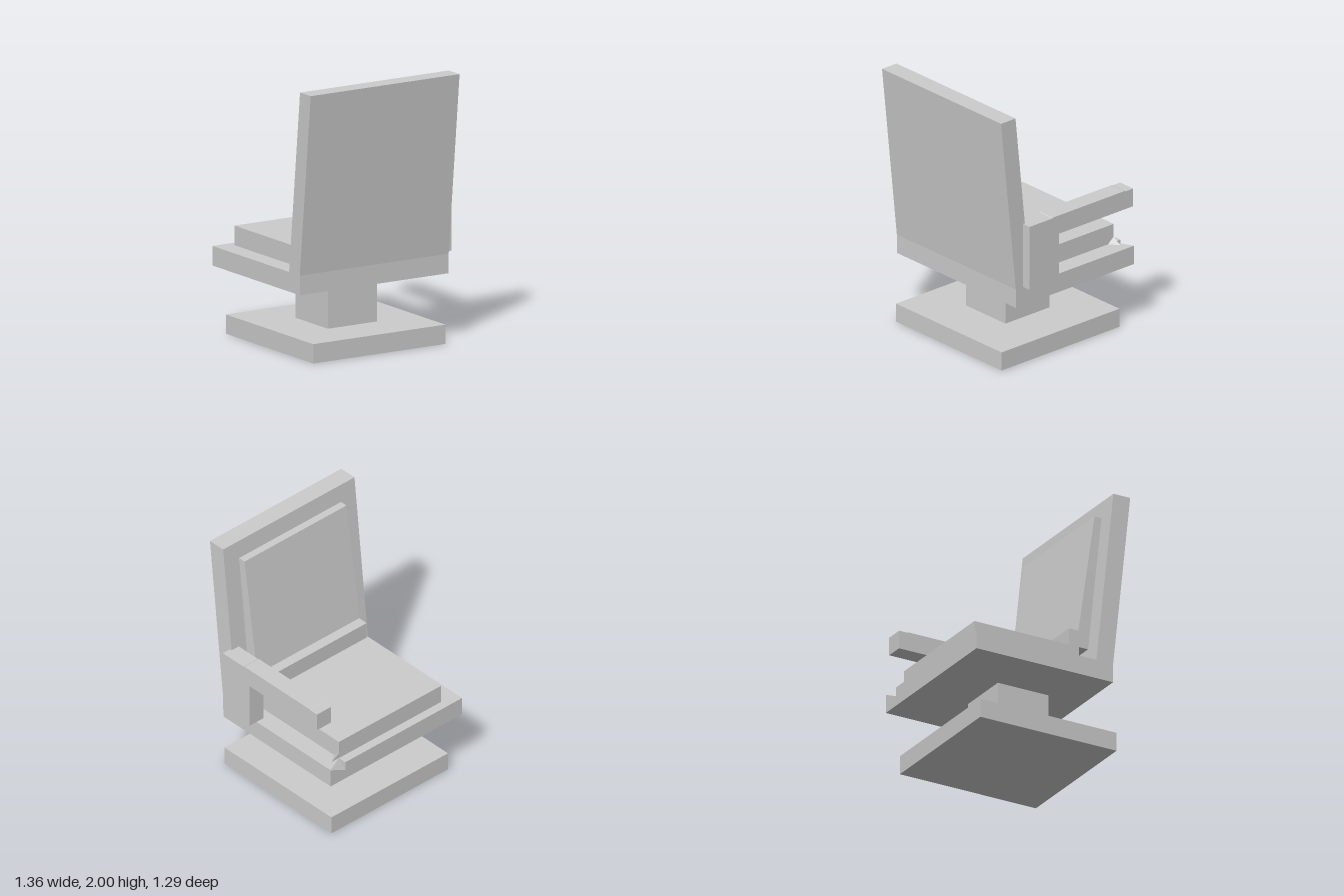
import * as THREE from 'three';
import { ConvexGeometry } from 'three/addons/geometries/ConvexGeometry.js';

const material = new THREE.MeshStandardMaterial({ color: 0xcccccc, flatShading: true });

function part(name, geometry) {
  const mesh = new THREE.Mesh(geometry, material);
  mesh.name = name;
  return mesh;
}

// Box given by its extents on each axis
function block(name, [x0, x1], [y0, y1], [z0, z1]) {
  const geometry = new THREE.BoxGeometry(x1 - x0, y1 - y0, z1 - z0);
  geometry.translate((x0 + x1) / 2, (y0 + y1) / 2, (z0 + z1) / 2);
  return part(name, geometry);
}

// Side profile of [z, y] points, extruded from x0 to x1
function profile(name, [x0, x1], points) {
  const shape = new THREE.Shape(points.map(([z, y]) => new THREE.Vector2(-z, y)));
  const geometry = new THREE.ExtrudeGeometry(shape, { depth: x1 - x0, bevelEnabled: false });
  geometry.rotateY(Math.PI / 2);
  geometry.translate(x0, 0, 0);
  return part(name, geometry);
}

function hull(name, points) {
  return part(name, new ConvexGeometry(points.map((p) => new THREE.Vector3(...p))));
}

export function createModel() {
  const chair = new THREE.Group();
  chair.name = 'chair';

  // Pedestal
  chair.add(block('base', [-0.61, 0.53], [0, 0.143], [-0.57, 0.57]));
  chair.add(block('stem', [-0.25, 0.175], [0.143, 0.5], [-0.21, 0.215]));

  // Seat slab, with a chipped front corner on the armrest side
  const seat = new THREE.Group();
  seat.name = 'seat';
  const chipX = 0.462, edgeX = 0.605, low = 0.5, top = 0.645, front = -0.643, back = 0.36;
  seat.add(block('seatSlab', [-0.68, chipX], [low, top], [front, back]));
  seat.add(hull('chippedSide', [
    [chipX, low, front], [edgeX, low, front], [edgeX, top, front],
    [chipX, 0.575, front], [chipX, top, -0.575],
    [chipX, low, back], [edgeX, low, back], [chipX, top, back], [edgeX, top, back],
  ]));
  chair.add(seat);

  // Leaning backrest
  chair.add(profile('backrest', [-0.68, 0.605], [
    [0.36, 0.5], [0.5, 0.5], [0.5, 0.645], [0.643, 2], [0.503, 2], [0.36, 0.645],
  ]));

  // Cushions; the back one has a step at its foot
  chair.add(block('seatCushion', [-0.535, 0.462], [0.645, 0.79], [-0.575, 0.3]));
  chair.add(profile('backCushion', [-0.535, 0.462], [
    [0.215, 0.79], [0.38, 0.79], [0.49, 1.86], [0.43, 1.86], [0.295, 0.92], [0.215, 0.92],
  ]));
  chair.add(hull('cushionWedge', [
    [0.462, 0.645, -0.575], [0.532, 0.645, -0.575], [0.462, 0.645, -0.52], [0.462, 0.69, -0.575],
  ]));

  // Single armrest with its rear post
  chair.add(profile('armrest', [0.535, 0.675], [
    [0.43, 0.645], [0.43, 1.143], [0.21, 1.143], [0.2, 1.148], [-0.49, 1.148], [-0.5, 1.143],
    [-0.573, 1.143], [-0.573, 1.003], [0.147, 1.003], [0.147, 0.645],
  ]));

  return chair;
}
